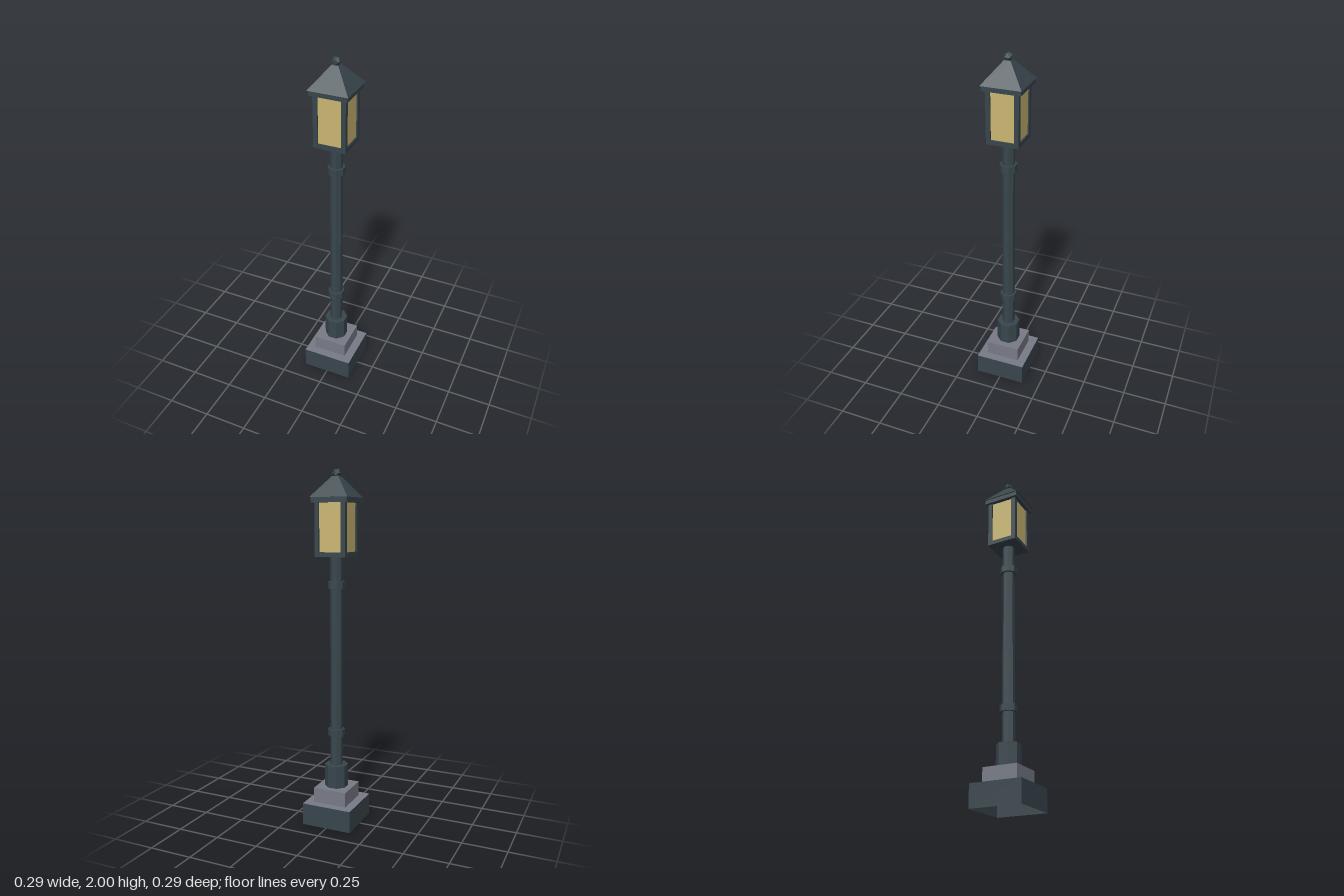
import * as THREE from 'three';

export function createModel() {
  const mat = (name, color, extra = {}) => {
    const m = new THREE.MeshStandardMaterial({ color, ...extra });
    m.name = name;
    m.flatShading = true;
    return m;
  };
  const iron = mat('dark slate iron', 0x38464d, { side: THREE.DoubleSide });
  const stone = mat('grey stone', 0x787b86, { side: THREE.DoubleSide });
  const glass = mat('amber glass', 0xcbb772);

  const model = new THREE.Group();
  model.name = 'streetLamp';
  const add = (name, geometry, material, x = 0, y = 0, z = 0) => {
    const mesh = new THREE.Mesh(geometry, material);
    mesh.name = name;
    mesh.position.set(x, y, z);
    model.add(mesh);
    return mesh;
  };

  // Square block, half-width h, from y0 to y1
  const block = (name, h, y0, y1, material, x = 0, z = 0) =>
    add(name, new THREE.BoxGeometry(h * 2, y1 - y0, h * 2), material, x, (y0 + y1) / 2, z);

  // Regular prism or frustum with flats facing the axes; sizes are flat-to-centre distances
  const prism = (name, sides, bottom, top, y0, y1, material, open = false) => {
    const k = 1 / Math.cos(Math.PI / sides);
    const g = new THREE.CylinderGeometry(top * k, bottom * k, y1 - y0, sides, 1, open);
    g.rotateY(Math.PI / sides);
    return add(name, g, material, 0, (y0 + y1) / 2);
  };

  // Hollow plinth with an open underside, stone top and stone step
  prism('plinthWalls', 4, 0.147, 0.147, 0, 0.126, iron, true);
  const top = new THREE.PlaneGeometry(0.294, 0.294).rotateX(-Math.PI / 2);
  add('plinthTop', top, stone, 0, 0.126, 0);
  block('stoneStep', 0.099, 0.127, 0.212, stone);

  // Octagonal post with foot and collars
  prism('postFoot', 8, 0.062, 0.062, 0.212, 0.342, iron);
  prism('post', 8, 0.033, 0.033, 0.342, 1.535, iron);
  for (const y of [0.535, 1.38]) prism('collar', 8, 0.045, 0.045, y - 0.02, y + 0.02, iron);

  // Lantern: floor, corner bars, glass and eave
  block('lanternFloor', 0.09, 1.535, 1.56, iron);
  block('lanternGlass', 0.082, 1.56, 1.825, glass);
  for (const x of [-1, 1])
    for (const z of [-1, 1])
      block('cornerBar', 0.0125, 1.56, 1.825, iron, x * 0.0775, z * 0.0775);
  block('eave', 0.105, 1.823, 1.85, iron);

  // Pyramid roof and faceted finial
  prism('roof', 4, 0.111, 0.018, 1.85, 1.963, iron);
  const ball = new THREE.IcosahedronGeometry(0.026, 0);
  add('finial', ball, iron, 0, 1.978, 0);

  return model;
}
